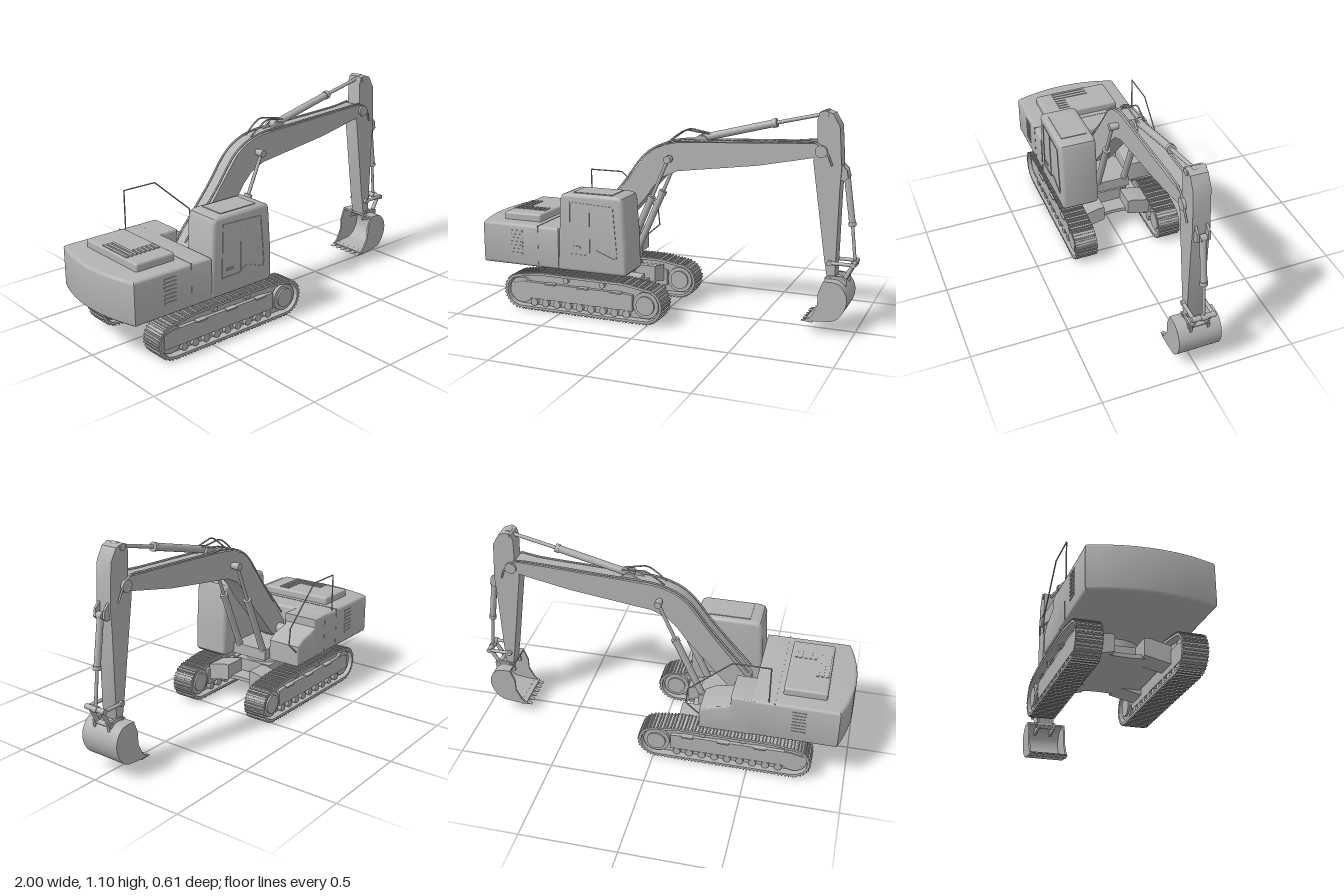
import * as THREE from 'three';
import { toCreasedNormals } from 'three/addons/utils/BufferGeometryUtils.js';
import { RoundedBoxGeometry } from 'three/addons/geometries/RoundedBoxGeometry.js';

const grey = new THREE.MeshStandardMaterial({ color: 0xb2b2b2, side: THREE.DoubleSide });
grey.name = 'plain grey';

const V = (x, y, z = 0) => new THREE.Vector3(x, y, z);
const poly = (pts) => new THREE.Shape(pts.map(([x, y]) => new THREE.Vector2(x, y)));

function add(parent, geo, name) {
  const mesh = new THREE.Mesh(geo, grey);
  mesh.name = name;
  parent.add(mesh);
  return mesh;
}
function group(parent, name) {
  const g = new THREE.Group();
  g.name = name;
  parent.add(g);
  return g;
}
// Box given by its limits
function box(parent, name, x0, x1, y0, y1, z0, z1, r = 0) {
  const s = [x1 - x0, y1 - y0, z1 - z0];
  const geo = r ? new RoundedBoxGeometry(...s, 3, r) : new THREE.BoxGeometry(...s);
  const m = add(parent, geo, name);
  m.position.set((x0 + x1) / 2, (y0 + y1) / 2, (z0 + z1) / 2);
  return m;
}
// Side outline extruded from z0 to z1, bevel kept inside those limits
function side(parent, name, shape, z0, z1, bevel = 0) {
  const geo = new THREE.ExtrudeGeometry(shape, {
    depth: z1 - z0 - 2 * bevel, bevelEnabled: bevel > 0, bevelSize: bevel, bevelThickness: bevel,
    bevelOffset: -bevel, bevelSegments: 3, curveSegments: 16,
  });
  geo.translate(0, 0, z0 + bevel);
  return add(parent, toCreasedNormals(geo, 0.6), name);
}
// Plan outline (x, -z) extruded upwards from y0 to y1
function plan(parent, name, shape, y0, y1, bevel = 0) {
  const m = side(parent, name, shape, y0, y1, bevel);
  m.geometry.rotateX(-Math.PI / 2);
  return m;
}
function rod(parent, name, a, b, r, sides = 16) {
  const m = add(parent, new THREE.CylinderGeometry(r, r, a.distanceTo(b), sides), name);
  m.position.copy(a).lerp(b, 0.5);
  m.quaternion.setFromUnitVectors(V(0, 1, 0), b.clone().sub(a).normalize());
  return m;
}
const pin = (parent, name, x, y, r, z0, z1) => rod(parent, name, V(x, y, z0), V(x, y, z1), r, 24);
const hose = (parent, name, pts, r = 0.005) =>
  add(parent, new THREE.TubeGeometry(new THREE.CatmullRomCurve3(pts), 32, r, 6), name);
// Hydraulic ram: thick barrel, thin piston rod and end eyes
function ram(parent, name, a, mid, b, r) {
  const g = group(parent, name);
  rod(g, 'barrel', a, mid, r);
  rod(g, 'pistonRod', mid, b, r * 0.5);
  const d = mid.clone().sub(a).normalize().multiplyScalar(0.02);
  rod(g, 'barrelCollar', mid.clone().sub(d), mid, r * 1.2);
  for (const p of [a, b]) pin(g, 'eye', p.x, p.y, r * 1.05, p.z - r, p.z + r);
}

// Closed track line round the two end wheels and over the raised top
function trackLoop(r, top) {
  const s = new THREE.Shape();
  s.moveTo(-0.73, 0.1 - r);
  s.lineTo(-0.015, 0.1 - r);
  s.absarc(-0.015, 0.1, r, -Math.PI / 2, 1.2, false);
  s.lineTo(-0.13, top);
  s.lineTo(-0.61, top);
  s.absarc(-0.73, 0.1, r, Math.PI - 1.2, Math.PI * 1.5, false);
  return s;
}

function buildTrack(parent, sign) {
  const g = group(parent, sign > 0 ? 'leftTrack' : 'rightTrack');
  const zc = sign * 0.241, n = 54;
  const pts = trackLoop(0.087, 0.203).getSpacedPoints(n);
  for (let i = 0; i < n; i++) {
    const a = pts[i], b = pts[(i + 1) % n];
    const shoe = group(g, 'trackShoe');
    const len = a.distanceTo(b);
    box(shoe, 'plate', -len * 0.51, len * 0.51, -0.006, 0.006, -0.061, 0.061);
    for (const x of [-0.35, 0.1]) box(shoe, 'grouser', len * x, len * x + 0.006, -0.013, 0, -0.061, 0.061);
    shoe.position.set((a.x + b.x) / 2, (a.y + b.y) / 2, zc);
    shoe.rotation.z = Math.atan2(b.y - a.y, b.x - a.x);
  }
  // Side frame, wheels and rollers
  side(g, 'trackWeb', trackLoop(0.078, 0.194), zc - 0.025, zc + 0.025);
  side(g, 'trackFrame', poly([[-0.78, 0.06], [-0.09, 0.06], [-0.09, 0.145], [-0.14, 0.15], [-0.72, 0.15], [-0.78, 0.135]]),
    zc - 0.045, zc + 0.045);
  pin(g, 'driveSprocket', -0.015, 0.1, 0.07, zc - 0.045, zc + 0.045);
  pin(g, 'sprocketHub', -0.015, 0.1, 0.05, zc - 0.055, zc + 0.055);
  pin(g, 'idlerWheel', -0.735, 0.1, 0.07, zc - 0.04, zc + 0.04);
  for (let i = 0; i < 9; i++) pin(g, 'trackRoller', -0.66 + i * 0.067, 0.04, 0.02, zc - 0.045, zc + 0.045);
  for (const x of [-0.47, -0.26]) pin(g, 'carrierRoller', x, 0.178, 0.015, zc - 0.045, zc + 0.045);
  for (const x of [-0.56, -0.37, -0.18]) box(g, 'step', x - 0.03, x + 0.03, 0.145, 0.153, zc - 0.055, zc + 0.055);
}

function buildUndercarriage(parent) {
  const g = group(parent, 'undercarriage');
  for (const s of [1, -1]) {
    buildTrack(g, s);
    // Splayed legs, seen from the end
    for (const x of [-0.58, -0.17]) {
      const leg = side(g, 'frameLeg', poly([[0.07, 0.115], [0.2, 0.085], [0.2, 0.175], [0.1, 0.2], [0.07, 0.2]]
        .map(([a, b]) => [a * s, b])), -0.06, 0.06);
      leg.position.x = x;
      leg.rotation.y = Math.PI;
      leg.scale.z = 1;
      leg.geometry.rotateY(Math.PI / 2);
    }
  }
  const c = new THREE.Shape();
  c.moveTo(-0.64, -0.19);
  c.quadraticCurveTo(-0.56, 0, -0.64, 0.19);
  c.lineTo(-0.11, 0.19);
  c.quadraticCurveTo(-0.19, 0, -0.11, -0.19);
  plan(g, 'bellyPlate', c, 0.11, 0.13);
  box(g, 'centreFrame', -0.52, -0.24, 0.12, 0.2, -0.11, 0.11);
  rod(g, 'slewRing', V(-0.38, 0.19), V(-0.38, 0.245), 0.125, 40);
}

function buildUpper(parent) {
  const g = group(parent, 'upperBody');
  // Counterweight with bowed rear, then engine bay
  const cw = new THREE.Shape();
  cw.moveTo(-0.5, -0.298);
  cw.lineTo(-0.5, 0.298);
  cw.lineTo(-0.945, 0.298);
  cw.quadraticCurveTo(-1.055, 0, -0.945, -0.298);
  plan(g, 'engineHouse', cw, 0.24, 0.462, 0.015);
  box(g, 'deck', -0.55, -0.2, 0.24, 0.3, -0.11, 0.12);
  box(g, 'bodySeam', -0.622, -0.618, 0.25, 0.464, -0.299, 0.299);
  box(g, 'engineHood', -0.87, -0.65, 0.45, 0.502, -0.21, 0.21, 0.012);
  for (let i = 0; i < 8; i++) box(g, 'hoodGrille', -0.86 + i * 0.025, -0.846 + i * 0.025, 0.5, 0.506, i < 3 ? -0.08 : 0.06, 0.12);
  for (let i = 0; i < 7; i++)
    for (const s of [1, -1]) box(g, 'sideVent', -0.78, -0.71, 0.3 + i * 0.02, 0.31 + i * 0.02, s * 0.299 - 0.002, s * 0.299 + 0.002);
  // Right tank and stepped toolbox
  side(g, 'rightTank', poly([[-0.52, 0.24], [-0.4, 0.24], [-0.4, 0.46], [-0.52, 0.46]]), -0.297, -0.1, 0.008);
  side(g, 'toolbox', poly([[-0.42, 0.24], [-0.24, 0.24], [-0.24, 0.35], [-0.29, 0.38], [-0.38, 0.4], [-0.42, 0.43]]), -0.297, -0.11, 0.008);
  // Handrail
  const rail = [[-0.59, 0.45], [-0.59, 0.665], [-0.4, 0.665], [-0.18, 0.47], [-0.17, 0.38], [-0.25, 0.31]];
  for (let i = 0; i < rail.length - 1; i++)
    rod(g, 'handrail', V(...rail[i], -0.285), V(...rail[i + 1], -0.285), 0.0035, 8);

  // Cab
  const cab = group(g, 'cab');
  side(cab, 'cabShell', poly([[-0.505, 0.24], [-0.13, 0.24], [-0.115, 0.255], [-0.118, 0.42], [-0.132, 0.62], [-0.14, 0.642],
    [-0.16, 0.652], [-0.45, 0.652], [-0.475, 0.643], [-0.487, 0.62]]), 0.1, 0.3, 0.018);
  const door = poly([[-0.44, 0.33], [-0.33, 0.33], [-0.28, 0.36], [-0.17, 0.32], [-0.165, 0.36], [-0.185, 0.6], [-0.43, 0.61]]);
  door.holes.push(new THREE.Path([[-0.434, 0.336], [-0.335, 0.336], [-0.28, 0.367], [-0.176, 0.328], [-0.171, 0.36], [-0.191, 0.594], [-0.425, 0.604]]
    .map(([x, y]) => new THREE.Vector2(x, y))));
  side(cab, 'doorFrame', door, 0.299, 0.303);
  box(cab, 'doorPillar', -0.322, -0.316, 0.335, 0.6, 0.299, 0.303);
  box(cab, 'doorHandle', -0.41, -0.37, 0.37, 0.38, 0.299, 0.306);
  box(cab, 'roofHatch', -0.42, -0.2, 0.65, 0.656, 0.13, 0.27);
}

function buildBucket(parent) {
  const g = group(parent, 'bucket');
  const curve = new THREE.SplineCurve([[0.85, 0.275], [0.925, 0.268], [0.966, 0.21], [0.96, 0.14], [0.915, 0.082], [0.84, 0.068], [0.77, 0.064]]
    .map(([x, y]) => new THREE.Vector2(x, y)));
  const outer = curve.getPoints(30);
  const inner = outer.map((p, i) => {
    const t = curve.getTangent(i / 30);
    return new THREE.Vector2(p.x + t.y * 0.01, p.y - t.x * 0.01);
  });
  side(g, 'bucketShell', new THREE.Shape([...outer, ...inner.reverse()]), -0.108, 0.108);
  const cheek = new THREE.Shape([...outer, new THREE.Vector2(0.795, 0.09), new THREE.Vector2(0.825, 0.15), new THREE.Vector2(0.825, 0.21)]);
  for (const z of [-0.11, 0.1]) side(g, 'bucketCheek', cheek, z, z + 0.01);
  for (let i = 0; i < 6; i++) {
    const z = -0.095 + i * 0.038;
    side(g, 'tooth', poly([[0.742, 0.06], [0.8, 0.056], [0.8, 0.078]]), z - 0.01, z + 0.01);
  }
  for (const s of [1, -1])
    side(g, 'bucketEar', poly([[0.84, 0.24], [0.95, 0.23], [0.955, 0.28], [0.93, 0.29], [0.87, 0.29], [0.845, 0.28]]), s * 0.045 - 0.006, s * 0.045 + 0.006);
  pin(g, 'bucketPin', 0.868, 0.268, 0.014, -0.055, 0.055);
  pin(g, 'linkPin', 0.935, 0.268, 0.012, -0.055, 0.055);
}

function buildArm(parent) {
  const g = group(parent, 'arm');
  g.position.z = -0.009;
  side(g, 'boom', poly([[-0.46, 0.34], [-0.4, 0.31], [-0.35, 0.34], [-0.12, 0.6], [-0.07, 0.67], [-0.02, 0.72], [0.06, 0.757],
    [0.49, 0.815], [0.76, 0.87], [0.81, 0.88], [0.83, 0.905], [0.81, 0.935], [0.77, 0.942], [0.17, 0.912], [0.06, 0.905], [0.0, 0.893],
    [-0.06, 0.87], [-0.12, 0.825], [-0.257, 0.645], [-0.46, 0.39]]), -0.047, 0.047);
  pin(g, 'boomFootPin', -0.41, 0.36, 0.03, -0.09, 0.09);
  side(g, 'stick', poly([[0.78, 1.06], [0.79, 1.095], [0.82, 1.102], [0.855, 1.09], [0.89, 1.03], [0.9, 0.9], [0.905, 0.82], [0.9, 0.72],
    [0.893, 0.28], [0.875, 0.25], [0.855, 0.265], [0.835, 0.38], [0.765, 0.86], [0.785, 0.93]]), -0.043, 0.043);
  pin(g, 'stickPin', 0.805, 0.905, 0.03, -0.058, 0.058);
  pin(g, 'stickTopPin', 0.815, 1.085, 0.018, -0.047, 0.047);
  for (const s of [1, -1]) {
    side(g, 'bucketRamLug', poly([[0.89, 0.86], [0.93, 0.82], [0.937, 0.78], [0.92, 0.765], [0.89, 0.77]]), s * 0.028 - 0.006, s * 0.028 + 0.006);
    side(g, 'armRamLug', poly([[0.1, 0.9], [0.24, 0.905], [0.2, 0.945], [0.17, 0.945]]), s * 0.028 - 0.006, s * 0.028 + 0.006);
    ram(g, 'boomRam', V(-0.22, 0.28, s * 0.077), V(-0.067, 0.62, s * 0.077), V(0.02, 0.82, s * 0.077), 0.018);
    rod(g, 'rearLink', V(0.86, 0.355, s * 0.05), V(0.982, 0.355, s * 0.05), 0.009);
    rod(g, 'frontLink', V(0.982, 0.355, s * 0.036), V(0.935, 0.268, s * 0.036), 0.011);
    // Hoses along the boom and over the stick joint
    hose(g, 'boomHose', [V(-0.45, 0.44, s * 0.035), V(-0.25, 0.67, s * 0.035), V(-0.11, 0.845, s * 0.035), V(0.02, 0.905, s * 0.035),
      V(0.3, 0.923, s * 0.035), V(0.7, 0.943, s * 0.035), V(0.77, 0.95, s * 0.045), V(0.83, 0.91, s * 0.055), V(0.86, 0.84, s * 0.05)]);
    hose(g, 'ramHose', [V(0.0, 0.9, s * 0.02), V(0.05, 0.94, s * 0.025), V(0.1, 0.968, s * 0.025), V(0.16, 0.962, s * 0.02), V(0.24, 0.95, s * 0.012)], 0.004);
  }
  pin(g, 'boomRamPin', 0.02, 0.82, 0.016, -0.095, 0.095);
  pin(g, 'rearLinkPin', 0.865, 0.355, 0.013, -0.06, 0.06);
  pin(g, 'frontLinkPin', 0.982, 0.355, 0.013, -0.06, 0.06);
  ram(g, 'armRam', V(0.18, 0.93), V(0.57, 1.028), V(0.815, 1.085), 0.019);
  ram(g, 'bucketRam', V(0.925, 0.79), V(0.962, 0.54), V(0.982, 0.355), 0.016);
  buildBucket(g);
}

export function createModel() {
  const model = new THREE.Group();
  model.name = 'excavator';
  buildUndercarriage(model);
  buildUpper(model);
  buildArm(model);
  return model;
}
